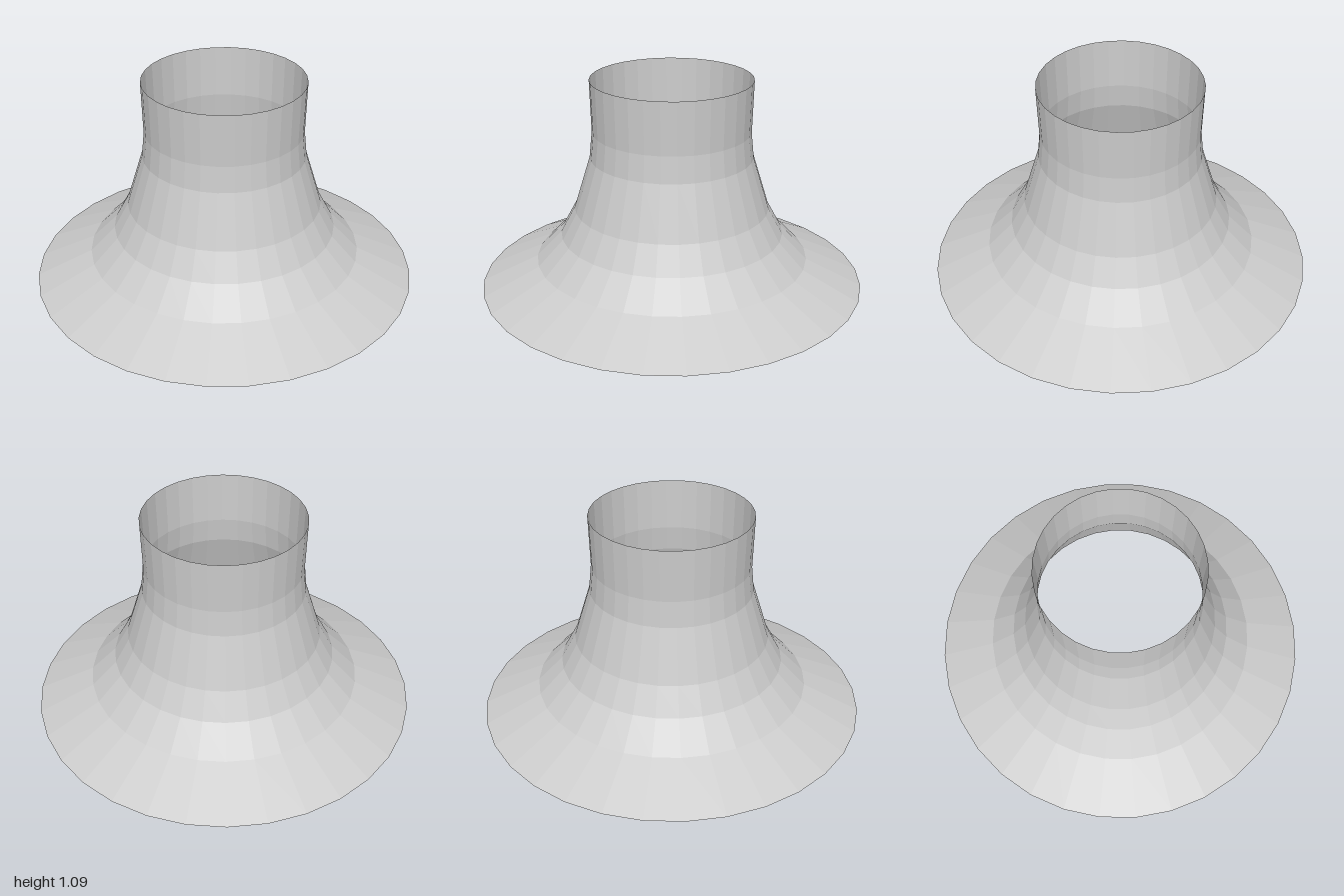
import * as THREE from 'three';

export function createModel() {
  const group = new THREE.Group();
  group.name = 'flaredCollar';

  // Open, thin-walled flare: wide skirt at the base rising to a straight neck
  const profile = [
    [1.0, 0], [0.71, 0.137], [0.58, 0.272], [0.505, 0.41],
    [0.42, 0.685], [0.406, 0.82], [0.413, 1.09],
  ].map(([r, y]) => new THREE.Vector2(r, y));

  const material = new THREE.MeshStandardMaterial({
    color: 0xcccccc,
    flatShading: true,
    side: THREE.DoubleSide,
  });
  const shell = new THREE.Mesh(new THREE.LatheGeometry(profile, 32), material);
  shell.name = 'flaredShell';
  group.add(shell);
  return group;
}
